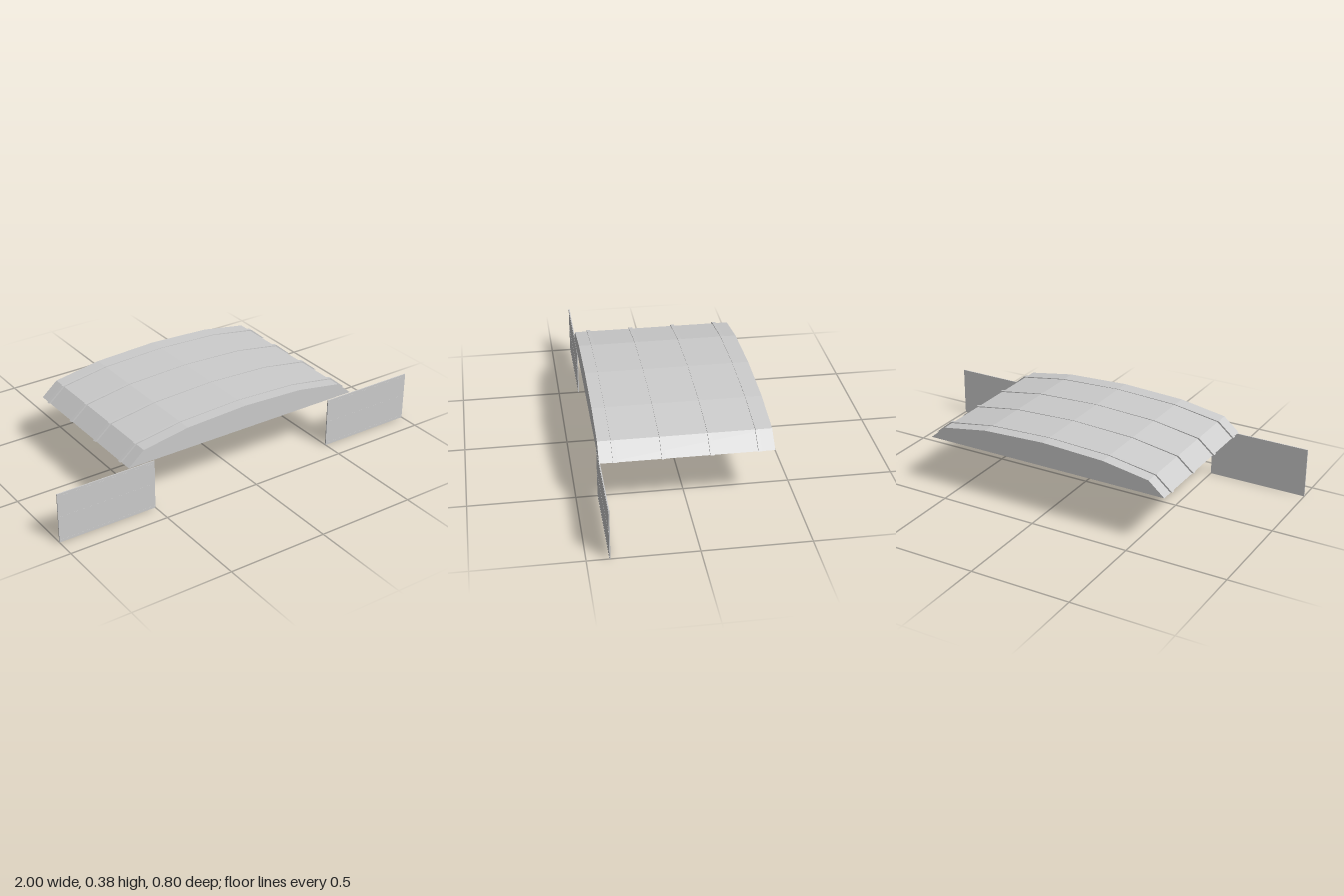
import * as THREE from 'three';

const grey = new THREE.MeshStandardMaterial({ color: 0xcccccc });
grey.name = 'lightGrey';

// Extrudes an outline along z, centred on the given z
function prism(name, points, depth, z) {
  const shape = new THREE.Shape(points.map(([x, y]) => new THREE.Vector2(x, y)));
  const geometry = new THREE.ExtrudeGeometry(shape, { depth, bevelEnabled: false });
  geometry.translate(0, 0, z - depth / 2);
  const mesh = new THREE.Mesh(geometry, grey);
  mesh.name = name;
  return mesh;
}

// Completes a right-hand half profile, listed from eave to ridge
function mirrored(half) {
  return [...half, ...half.slice(0, -1).reverse().map(([x, y]) => [-x, y])];
}

function box(name, w, h, d, x, y, z) {
  const mesh = new THREE.Mesh(new THREE.BoxGeometry(w, h, d), grey);
  mesh.name = name;
  mesh.position.set(x, y, z);
  return mesh;
}

export function createModel() {
  const model = new THREE.Group();
  model.name = 'archedRoofWithPanels';

  // Faceted arched roof with a flat underside
  const roof = mirrored([[0.636, 0.257], [0.556, 0.325], [0.32, 0.364], [0, 0.378]]);
  model.add(prism('roof', roof, 0.8, 0));

  // Thin raised ribs across the roof
  const outer = mirrored([[0.645, 0.26], [0.563, 0.329], [0.32, 0.367], [0, 0.38]]);
  const inner = mirrored([[0.63, 0.26], [0.553, 0.322], [0.32, 0.36], [0, 0.374]]).reverse();
  for (const z of [-0.33, -0.11, 0.11, 0.33]) {
    model.add(prism('roofRib', [...outer, ...inner], 0.018, z));
  }

  // Two front panels, each with fine horizontal seams
  for (const side of [-1, 1]) {
    const panel = new THREE.Group();
    panel.name = side > 0 ? 'leftPanel' : 'rightPanel';
    panel.add(box('panelBoard', 0.5, 0.25, 0.005, side * 0.75, 0.125, 0.397));
    for (const y of [0.012, 0.13, 0.237]) {
      panel.add(box('panelSeam', 0.5, 0.003, 0.001, side * 0.75, y, 0.3995));
    }
    model.add(panel);
  }
  return model;
}
